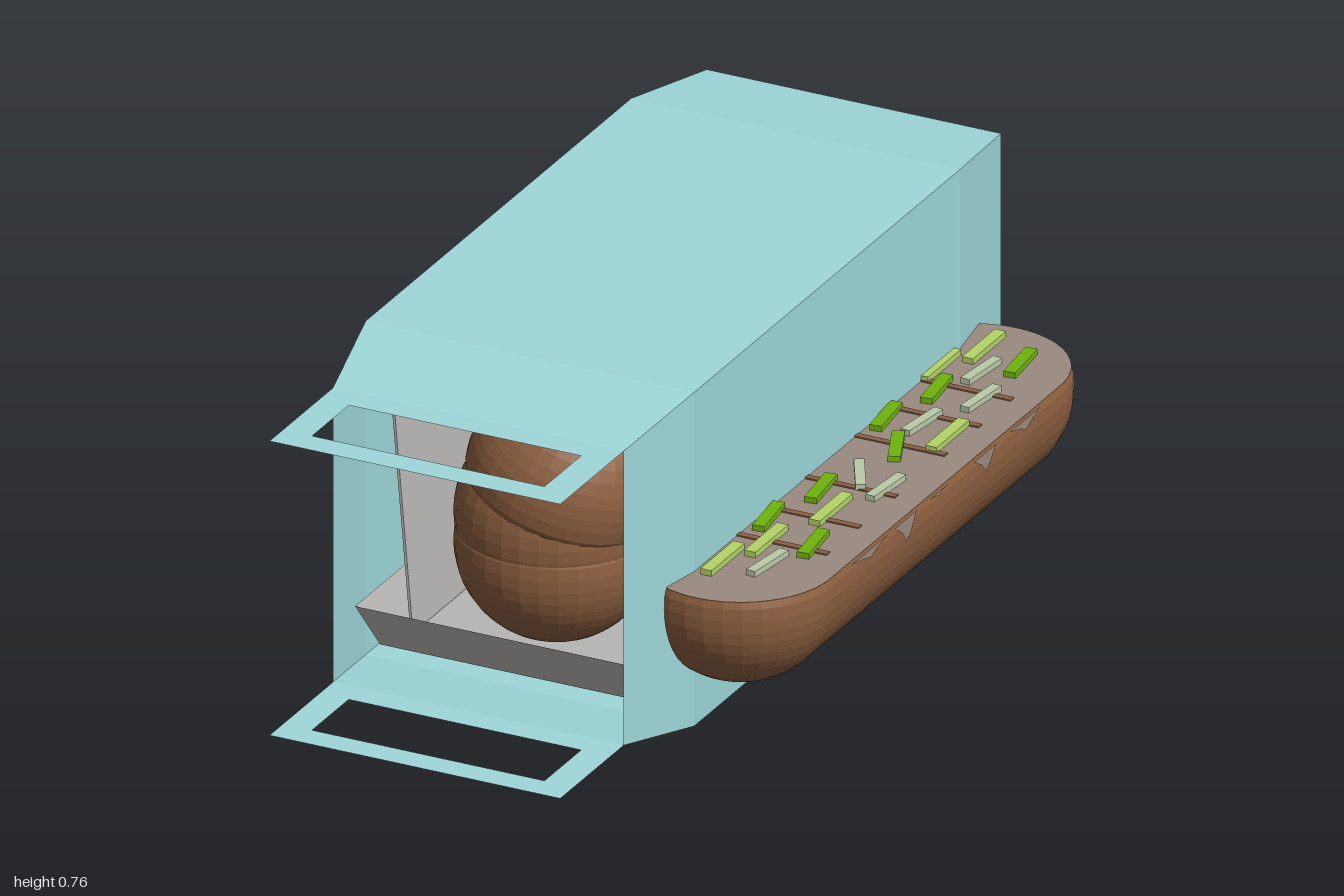
import * as THREE from 'three';

const mat = (name, color, extra = {}) => {
  const m = new THREE.MeshStandardMaterial({ color, ...extra });
  m.name = name;
  return m;
};

export function createModel() {
  const root = new THREE.Group();
  root.name = 'boxedSandwich';
  const cardboard = mat('paleBlueCard', 0x9fd8db, { side: THREE.DoubleSide, flatShading: true });
  const bread = mat('breadBrown', 0x8e6040, { flatShading: true });
  const tan = mat('fillingTaupe', 0x9a8b80, { side: THREE.DoubleSide });
  const grey = mat('trayGrey', 0xb8b6b5, { side: THREE.DoubleSide, flatShading: true });
  const lime = mat('limeSlice', 0xb4d468);
  const green = mat('greenSlice', 0x70b40c);
  const pale = mat('paleSlice', 0xbccbaa);
  const strip = mat('stripBrown', 0x8a5f45);

  const add = (name, geo, material, parent = root) => {
    const m = new THREE.Mesh(geo, material);
    m.name = name;
    parent.add(m);
    return m;
  };

  // Skin over rectangular sections [xMin, xMax, yMin, yMax, zMin, zMax] given as corner loops
  const loft = (loops, capFirst) => {
    const pos = [];
    const quad = (a, b, c, d) => pos.push(...a, ...b, ...c, ...a, ...c, ...d);
    for (let i = 0; i < loops.length - 1; i++)
      for (let k = 0; k < 4; k++) {
        const n = (k + 1) % 4;
        quad(loops[i][k], loops[i][n], loops[i + 1][n], loops[i + 1][k]);
      }
    if (capFirst) quad(loops[0][3], loops[0][2], loops[0][1], loops[0][0]);
    const g = new THREE.BufferGeometry();
    g.setAttribute('position', new THREE.Float32BufferAttribute(pos, 3));
    g.computeVertexNormals();
    return g;
  };

  // Carton: closed at the back, open at the front
  const upright = (x0, x1, y0, y1, z) => [[x0, y0, z], [x1, y0, z], [x1, y1, z], [x0, y1, z]];
  add('carton', loft([
    upright(-0.48, 0.2, 0.042, 0.72, -1),
    upright(-0.517, 0.242, 0, 0.76, -0.73),
    upright(-0.517, 0.242, 0, 0.76, 0.475),
    upright(-0.472, 0.2, 0.047, 0.717, 0.712),
  ], true), cardboard);

  // Flaps with a rectangular hand hole
  const rect = (S, x0, x1, z0, z1) => {
    const s = new S();
    s.moveTo(x0, z0); s.lineTo(x1, z0); s.lineTo(x1, z1); s.lineTo(x0, z1); s.closePath();
    return s;
  };
  const flap = rect(THREE.Shape, -0.472, 0.2, -1, -0.712);
  flap.holes.push(rect(THREE.Path, -0.405, 0.132, -0.938, -0.772));
  for (const [name, y] of [['upperFlap', 0.717], ['lowerFlap', 0.047]]) {
    const f = add(name, new THREE.ShapeGeometry(flap).rotateX(-Math.PI / 2), cardboard);
    f.position.y = y;
  }

  // Long rounded loaf, sliced flat at height cut above its centre
  const R = 0.2135, HALF = 0.522, CUT = 0.043, MID = -0.145;
  const loaf = (cut = R) => {
    const g = new THREE.SphereGeometry(R, 32, 24).rotateY(Math.PI / 32);
    const p = g.attributes.position;
    for (let i = 0; i < p.count; i++) {
      p.setY(i, Math.min(p.getY(i), cut));
      const z = p.getZ(i);
      if (Math.abs(z) > 1e-5) p.setZ(i, z + Math.sign(z) * HALF);
    }
    g.computeVertexNormals();
    return g;
  };

  // Closed sandwich inside the carton
  const sandwich = new THREE.Group();
  sandwich.name = 'closedSandwich';
  sandwich.position.z = MID;
  root.add(sandwich);
  add('lowerBun', loaf(CUT), bread, sandwich).position.set(-0.125, 0.307, 0);
  add('sausage', loaf(), bread, sandwich).position.set(-0.125, 0.375, 0);
  const top = add('upperBun', loaf(CUT), bread, sandwich);
  top.position.set(-0.1, 0.464, 0);
  top.rotation.z = Math.PI - 0.32;

  // Flared tray and its two thin side sheets
  const flat = (x0, x1, z0, z1, y) => [[x0, y, z0], [x0, y, z1], [x1, y, z1], [x1, y, z0]];
  add('tray', loft([
    flat(-0.42, 0.15, -0.89, 0.6, 0.097),
    flat(-0.46, 0.19, -0.925, 0.635, 0.19),
  ], true), grey);
  for (const s of [-1, 1]) {
    const sheet = add(s < 0 ? 'rightSheet' : 'leftSheet', new THREE.BoxGeometry(0.006, 0.505, 1.35), grey);
    sheet.position.set(-0.13 + s * 0.274, 0.353, MID);
    sheet.rotation.z = -s * 0.085;
  }

  // Open sandwich half beside the carton
  const open = new THREE.Group();
  open.name = 'openSandwich';
  root.add(open);
  add('openBun', loaf(CUT), bread, open).position.set(0.3, 0.307, MID);
  const r = 0.207, stadium = new THREE.Shape();
  stadium.absarc(0, HALF, r, 0, Math.PI, false);
  stadium.absarc(0, -HALF, r, Math.PI, Math.PI * 2, false);
  add('filling', new THREE.ShapeGeometry(stadium, 20).rotateX(-Math.PI / 2), tan, open)
    .position.set(0.3, 0.352, MID);

  // Narrow strips across the filling
  for (const z of [-0.56, -0.415, -0.26, -0.035, 0.13, 0.275])
    add('strip', new THREE.BoxGeometry(0.32, 0.004, 0.016), strip, open).position.set(0.29, 0.353, z);

  // Chopped toppings: [x, z, turn]
  const scatter = (name, material, w, len, list) => {
    const geo = new THREE.BoxGeometry(w, 0.016, len);
    for (const [x, z, turn] of list) {
      const m = add(name, geo, material, open);
      m.position.set(x, 0.357, z);
      m.rotation.y = turn;
    }
  };
  scatter('limeSlice', lime, 0.026, 0.15, [
    [0.288, -0.75, 0], [0.245, -0.63, 0], [0.415, -0.335, 0], [0.362, 0.09, 0],
    [0.312, 0.285, 0], [0.272, 0.405, 0], [0.18, -0.45, 0], [0.16, 0.2, 0]]);
  scatter('greenSlice', green, 0.027, 0.125, [
    [0.39, -0.715, 0.1], [0.293, -0.525, 0.12], [0.26, -0.36, 0.12], [0.345, -0.24, 0.4],
    [0.298, 0.01, 0.12], [0.264, 0.18, 0.12], [0.405, 0.255, 0.12], [0.17, -0.1, 0.2]]);
  scatter('paleSlice', pale, 0.022, 0.125, [
    [0.335, -0.645, -0.1], [0.395, -0.525, -0.1], [0.338, -0.37, -0.12], [0.34, -0.085, 0.5],
    [0.415, -0.055, -0.08], [0.363, 0.38, -0.12], [0.17, -0.62, -0.1], [0.18, 0.36, -0.1]]);

  // Filling drips on the outer side: [zStart, zEnd, lowest y]
  for (const [a, b, low] of [[0.3, 0.13, 0.33], [0.1, 0, 0.3], [-0.06, -0.14, 0.34], [-0.26, -0.36, 0.308], [-0.42, -0.56, 0.325]]) {
    const d = new THREE.Shape();
    d.moveTo(-a, 0.35);
    d.lineTo(-a + (a - b) * 0.35, (low + 0.35) / 2);
    d.lineTo(-a + (a - b) * 0.55, low);
    d.lineTo(-a + (a - b) * 0.75, low + 0.012);
    d.lineTo(-b, 0.35);
    add('drip', new THREE.ShapeGeometry(d).rotateY(Math.PI / 2), tan, open).position.x = 0.5145;
  }
  return root;
}
